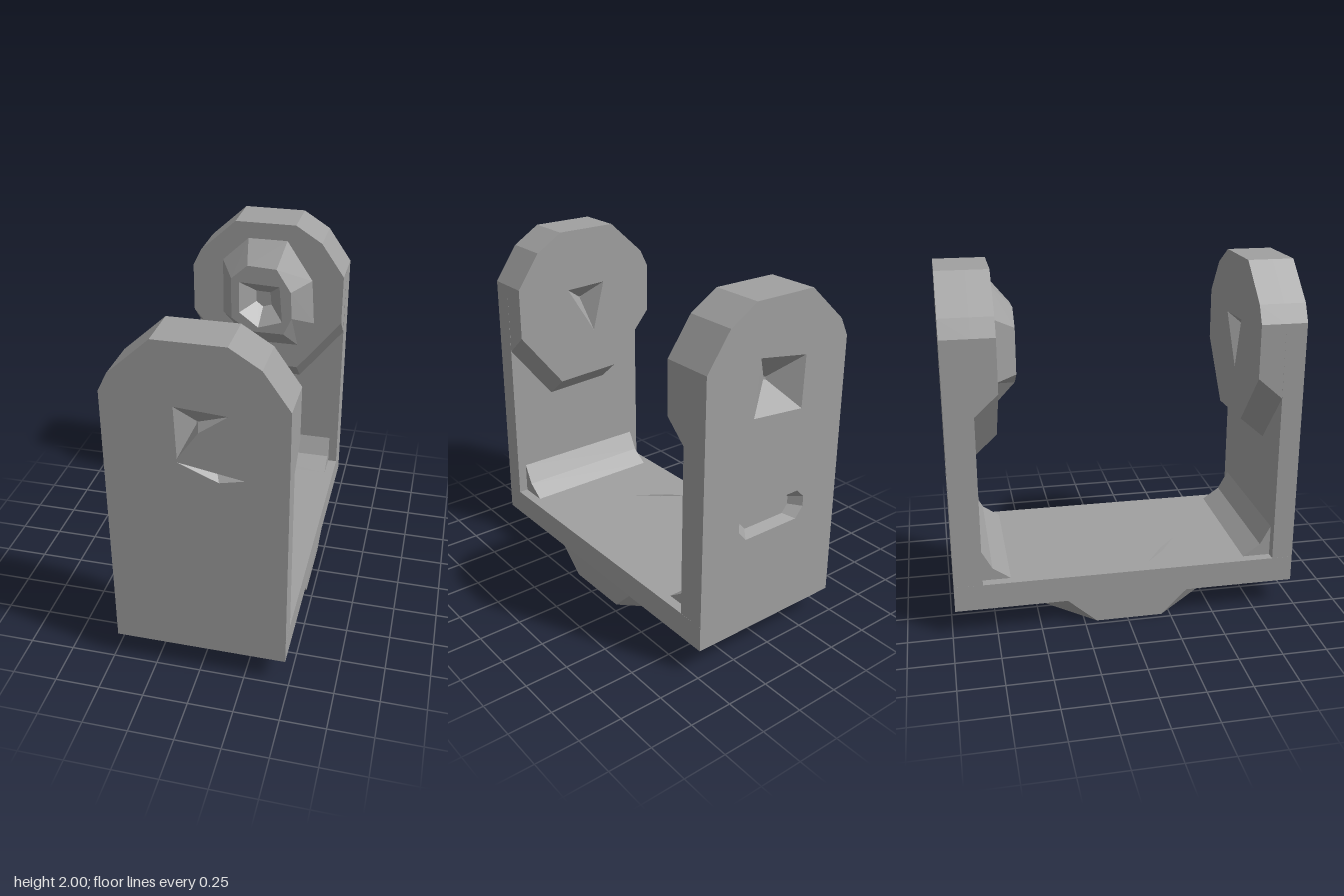
import * as THREE from 'three';

const grey = new THREE.MeshStandardMaterial({ color: 0xa0a0a0 });
grey.name = 'grey';

const flip = (pts) => pts.map(([x, y]) => [-x, y]).reverse();
const v2 = (pts) => pts.map(([x, y]) => new THREE.Vector2(x, y));

// Scale an outline about its own centre
function shrink(pts, s) {
  const cx = pts.reduce((a, p) => a + p[0], 0) / pts.length;
  const cy = pts.reduce((a, p) => a + p[1], 0) / pts.length;
  return pts.map(([x, y]) => [cx + (x - cx) * s, cy + (y - cy) * s]);
}

// Solid between two counter-clockwise outlines, with recesses sunk into its outer face (z1).
// Each recess is { rim, depth, floor }, floor being the scale of its bottom.
function block(name, inner, outer, z0, z1, recesses = []) {
  const pos = [];
  const band = (a, za, b, zb) => {
    for (let i = 0; i < a.length; i++) {
      const j = (i + 1) % a.length;
      pos.push(...a[i], za, ...a[j], za, ...b[j], zb, ...a[i], za, ...b[j], zb, ...b[i], zb);
    }
  };
  const cap = (pts, z, holes, up) => {
    const all = v2([pts, ...holes].flat());
    for (const [a, b, c] of THREE.ShapeUtils.triangulateShape(v2(pts), holes.map(v2))) {
      const p = all[a], q = all[up ? b : c], r = all[up ? c : b];
      pos.push(p.x, p.y, z, q.x, q.y, z, r.x, r.y, z);
    }
  };
  band(inner, z0, outer, z1);
  cap(inner, z0, [], false);
  cap(outer, z1, recesses.map((r) => [...r.rim].reverse()), true);
  for (const { rim, depth, floor = 0.05 } of recesses) {
    const bottom = shrink(rim, floor);
    band(bottom, z1 - depth, rim, z1);
    // walls of a recess face inwards
    const n = rim.length * 18, start = pos.length - n;
    for (let k = start; k < pos.length; k += 9) {
      for (let m = 0; m < 3; m++) {
        const t = pos[k + 3 + m];
        pos[k + 3 + m] = pos[k + 6 + m];
        pos[k + 6 + m] = t;
      }
    }
    cap(bottom, z1 - depth, [], true);
  }
  const geo = new THREE.BufferGeometry();
  geo.setAttribute('position', new THREE.Float32BufferAttribute(pos, 3));
  geo.computeVertexNormals();
  const mesh = new THREE.Mesh(geo, grey);
  mesh.name = name;
  return mesh;
}

export function createModel() {
  const group = new THREE.Group();
  group.name = 'bracket';
  const add = (mesh, rx = 0, ry = 0) => {
    mesh.rotation.set(rx, ry, 0);
    group.add(mesh);
  };

  // Faceted rounded top shared by arms and bosses
  const top = [[0.47, 1.7], [0.33, 1.9], [0.17, 2], [-0.2, 2], [-0.42, 1.8], [-0.47, 1.7]];
  const arm = [[-0.475, 0.16], [0.475, 0.16], ...top];
  const bossFace = [[-0.47, 1.4], [-0.2, 1.08], [0.2, 1.06], [0.47, 1.4], ...top];
  const bossRoot = [[-0.47, 1.28], [-0.2, 0.96], [0.2, 0.94], [0.47, 1.28], ...top];

  // Front arm with two splintered dents
  add(block('frontArm', arm, arm, 0.86, 0.98, [
    { rim: [[-0.1, 1.66], [-0.09, 1.37], [0.02, 1.53], [0.17, 1.64]], depth: 0.07 },
    { rim: [[-0.09, 1.35], [0.12, 1.26], [0.25, 1.29]], depth: 0.06 },
  ]));

  // Back arm with a square socket and a slot
  add(block('backArm', flip(arm), flip(arm), 0.82, 0.98, [
    { rim: [[-0.16, 1.4], [0.17, 1.37], [0.18, 1.66], [-0.13, 1.71]], depth: 0.12 },
    { rim: [[-0.23, 0.78], [-0.18, 0.72], [0.18, 0.72], [0.23, 0.78], [0.23, 0.84],
      [0.18, 0.89], [-0.18, 0.89], [-0.23, 0.84]], depth: 0.06, floor: 0.75 },
  ]), 0, Math.PI);

  // Bosses on the inner side of each arm
  add(block('frontBoss', flip(bossRoot), flip(bossFace), -0.86, -0.72, [
    { rim: [[0.05, 1.35], [0.13, 1.65], [-0.13, 1.64]], depth: 0.1 },
  ]), 0, Math.PI);
  add(block('backBoss', bossRoot, bossFace, -0.82, -0.69));

  // Small raised hub on the back boss
  const hubRoot = [[-0.28, 1.4], [-0.1, 1.22], [0.2, 1.22], [0.3, 1.38], [0.28, 1.66],
    [0.12, 1.9], [-0.12, 1.9], [-0.28, 1.75]];
  const hubFace = [[-0.2, 1.42], [-0.08, 1.34], [0.13, 1.34], [0.18, 1.45], [0.17, 1.62],
    [0.08, 1.76], [-0.1, 1.77], [-0.2, 1.68]];
  add(block('backHub', hubRoot, hubFace, -0.69, -0.57, [
    { rim: [[-0.15, 1.46], [-0.03, 1.37], [0.12, 1.42], [0.1, 1.65], [-0.15, 1.66]], depth: 0.13, floor: 0.3 },
  ]));

  // Base plate with a narrow nick in its top
  const base = [[-0.475, -0.98], [0.475, -0.98], [0.475, 0.98], [-0.475, 0.98]];
  add(block('base', base, base, 0.15, 0.3, [
    { rim: [[-0.38, -0.14], [-0.25, -0.26], [-0.1, -0.36], [-0.22, -0.25]], depth: 0.05 },
  ]), -Math.PI / 2);

  // Faceted foot under the base
  const footRoot = [[-0.47, -0.35], [-0.3, -0.6], [0.3, -0.6], [0.47, -0.35],
    [0.47, 0.35], [0.3, 0.6], [-0.3, 0.6], [-0.47, 0.35]];
  const footFace = [[-0.47, -0.18], [-0.22, -0.45], [0.2, -0.45], [0.46, -0.2],
    [0.46, 0.2], [0.2, 0.46], [-0.22, 0.46], [-0.47, 0.2]];
  add(block('foot', footRoot, footFace, -0.15, 0, [
    { rim: [[-0.13, -0.1], [0.13, -0.1], [0, 0.15]], depth: 0.1 },
  ]), Math.PI / 2);

  // Gussets in the inner corners, stopping short of the sides
  const gusset = [[0, 0.3], [0.16, 0.3], [0.06, 0.37], [0, 0.48]];
  const front = block('frontGusset', gusset, gusset, -0.42, 0.42);
  front.position.z = 0.86;
  add(front, 0, Math.PI / 2);
  const back = block('backGusset', gusset, gusset, -0.42, 0.42);
  back.position.z = -0.82;
  add(back, 0, -Math.PI / 2);

  return group;
}
